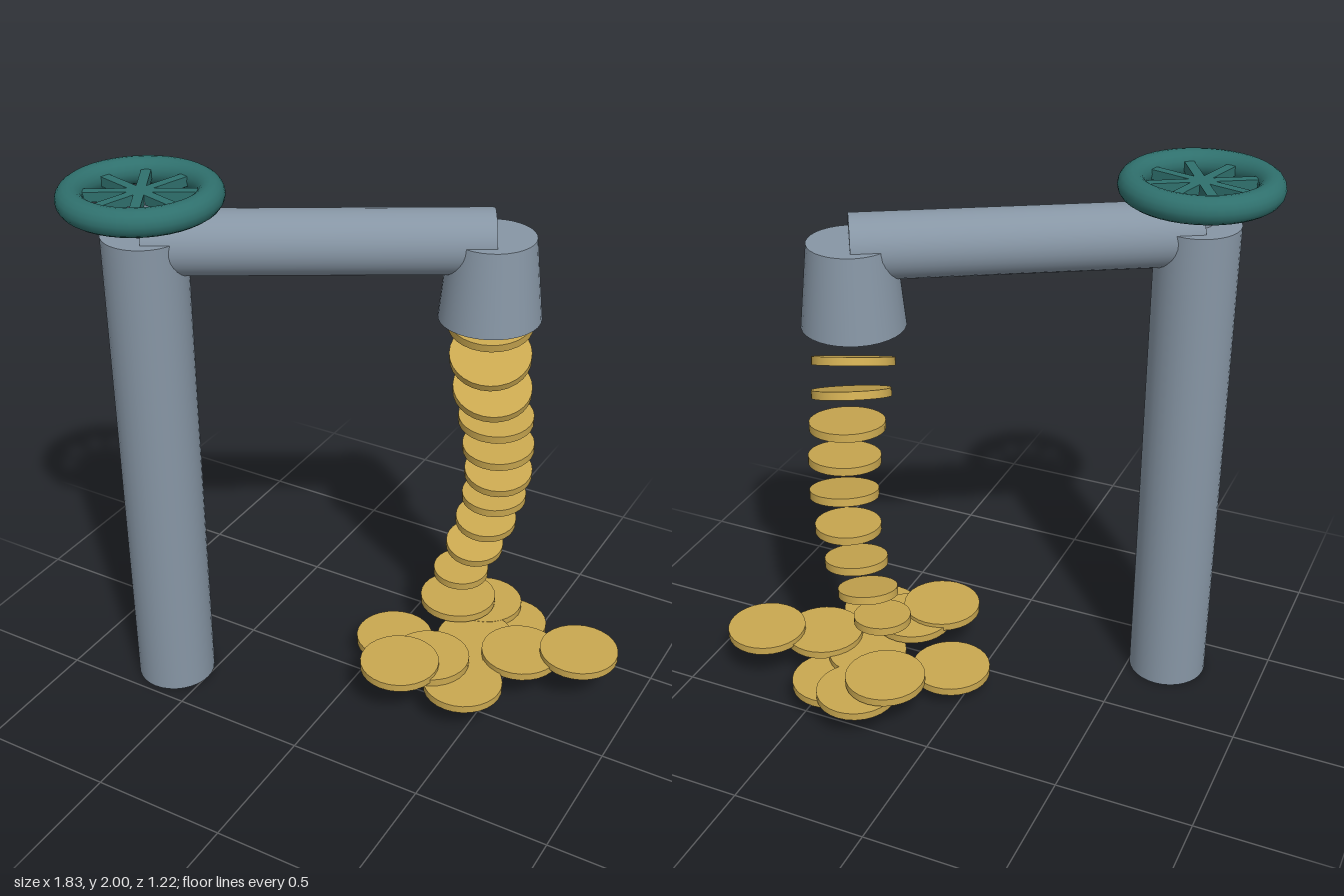
import * as THREE from 'three';

export function createModel() {
  const model = new THREE.Group();
  const steel = new THREE.MeshStandardMaterial({ color: 0x8796a5 });
  const gold = new THREE.MeshStandardMaterial({ color: 0xcaa850 });
  const teal = new THREE.MeshStandardMaterial({ color: 0x2f706d });

  function add(parent, name, geometry, material, x = 0, y = 0, z = 0) {
    const mesh = new THREE.Mesh(geometry, material);
    mesh.name = name;
    mesh.position.set(x, y, z);
    parent.add(mesh);
    return mesh;
  }

  const up = new THREE.Vector3(0, 1, 0);
  const base = new THREE.Vector3(-0.64, 0, 0.33);
  const outlet = new THREE.Vector3(0.365, 0, -0.25);

  // Upright pipe, valve stem and horizontal arm
  add(model, 'uprightPipe', new THREE.CylinderGeometry(0.145, 0.145, 1.82, 32), steel, base.x, 0.91, base.z);
  add(model, 'valveStem', new THREE.CylinderGeometry(0.047, 0.047, 0.16, 20), steel, base.x, 1.865, base.z);
  const span = outlet.clone().sub(base);
  const arm = add(model, 'armPipe', new THREE.CylinderGeometry(0.112, 0.112, span.length(), 32), steel,
    (base.x + outlet.x) / 2, 1.787, (base.z + outlet.z) / 2);
  arm.quaternion.setFromUnitVectors(up, span.clone().normalize());

  // Flared nozzle
  add(model, 'nozzle', new THREE.CylinderGeometry(0.147, 0.178, 0.295, 32), steel, 0.362, 1.657, -0.247);

  // Hand wheel: rim and four crossing bars
  const wheel = new THREE.Group();
  wheel.name = 'handWheel';
  wheel.position.set(base.x, 1.953, base.z);
  wheel.rotation.y = Math.PI / 6;
  model.add(wheel);
  add(wheel, 'rim', new THREE.TorusGeometry(0.23, 0.047, 16, 40), teal).rotation.x = Math.PI / 2;
  for (let i = 0; i < 4; i++) {
    add(wheel, 'spokeBar', new THREE.BoxGeometry(0.44, 0.034, 0.034), teal).rotation.y = i * Math.PI / 4;
  }

  // Coins: a normal of (nx, 1, nz) gives the tilt
  const coins = new THREE.Group();
  coins.name = 'coins';
  model.add(coins);
  function coin(name, x, y, z, r, nx = 0, nz = 0) {
    const mesh = add(coins, name, new THREE.CylinderGeometry(r, r, 0.029, 28), gold, x, y, z);
    mesh.quaternion.setFromUnitVectors(up, new THREE.Vector3(nx, 1, nz).normalize());
  }

  // Falling stream, top to bottom: x, y, z, radius, tilt x, tilt z
  [
    [0.365, 1.487, -0.25, 0.147, 0.08, 0.18],
    [0.375, 1.366, -0.24, 0.143, 0.18, 0.43],
    [0.388, 1.24, -0.24, 0.139, 0.2, 0.37],
    [0.402, 1.12, -0.254, 0.134, 0.05, 0.11],
    [0.407, 0.995, -0.275, 0.129, 0.03, 0.12],
    [0.4, 0.872, -0.302, 0.123, 0.1, 0.2],
    [0.378, 0.748, -0.325, 0.118, 0.03, 0.07],
    [0.344, 0.622, -0.339, 0.113, 0.1, 0.15],
    [0.304, 0.498, -0.336, 0.108, 0.13, 0.2],
    [0.262, 0.375, -0.313, 0.104, 0.04, 0.07],
  ].forEach((c) => coin('fallingCoin', ...c));

  // Flat pile: x, y, z
  [
    [0.767, 0.172, -0.309], [0.567, 0.153, -0.22], [0.447, 0.133, 0.03],
    [0.213, 0.18, 0.09], [0.066, 0.085, -0.145], [0.215, 0.172, -0.397],
    [0.3, 0.131, -0.465], [0.43, 0.106, -0.415], [0.29, 0.165, -0.01],
    [0.37, 0.13, -0.24],
  ].forEach((c) => coin('pileCoin', ...c, 0.147));

  return model;
}
